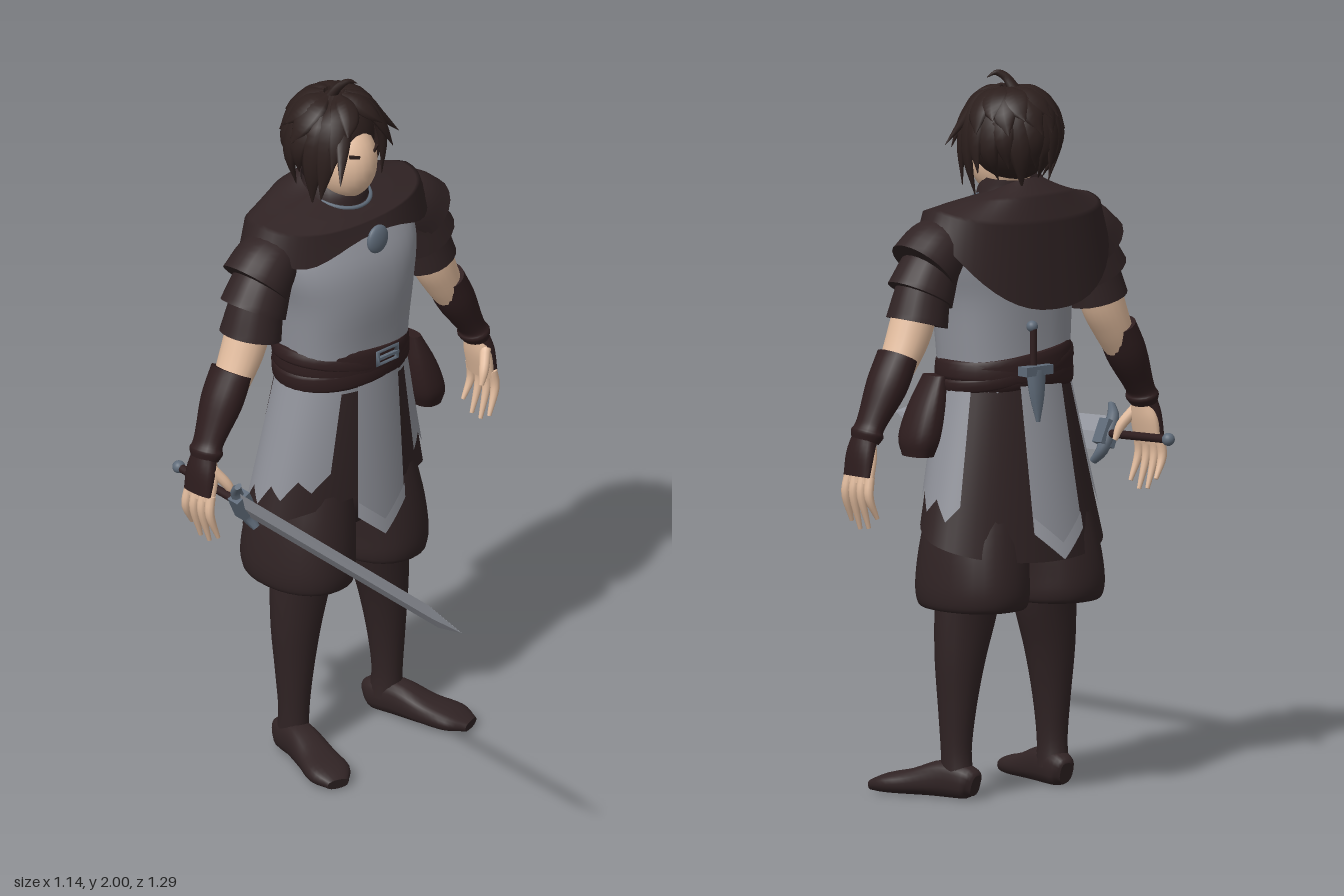
import * as THREE from 'three';
import { ParametricGeometry } from 'three/addons/geometries/ParametricGeometry.js';

const paint = (name, color) => {
  const m = new THREE.MeshStandardMaterial({ color, side: THREE.DoubleSide });
  m.name = name;
  return m;
};
const V = (x, y, z) => new THREE.Vector3(x, y, z);
const X = V(1, 0, 0), Y = V(0, 1, 0), Z = V(0, 0, 1);
const pow = (v, p) => Math.sign(v) * Math.pow(Math.abs(v), 2 / p);

// Smooth skin over rings [x, y, z, a, b]; b lies along ref, a across it.
function loft(rings, { n = 20, steps = 4, ref = Z, square = 2, caps = true, upright = false } = {}) {
  const mid = new THREE.CatmullRomCurve3(rings.map(r => V(r[0], r[1], r[2])), false, 'catmullrom');
  const rad = new THREE.CatmullRomCurve3(rings.map(r => V(r[3], r[4], 0)), false, 'catmullrom');
  const m = (rings.length - 1) * steps, rows = [];
  for (let i = 0; i <= m; i++) {
    const c = mid.getPoint(i / m), r = rad.getPoint(i / m), t = mid.getTangent(i / m);
    if (upright) t.set(0, Math.sign(t.y), 0);
    const b = ref.clone().addScaledVector(t, -ref.dot(t)).normalize();
    const row = { c, a: b.clone().cross(t), b, ra: Math.max(r.x, 0.0005), rb: Math.max(r.y, 0.0005) };
    rows.push(row);
    if (caps && (i === 0 || i === m)) {
      const tip = { ...row, ra: 0, rb: 0 };
      if (i === 0) rows.unshift(tip, row); else rows.push(row, tip);
    }
  }
  const pos = [], idx = [];
  rows.forEach((r, i) => {
    for (let j = 0; j < n; j++) {
      const q = j / n * Math.PI * 2;
      const p = r.c.clone().addScaledVector(r.a, r.ra * pow(Math.cos(q), square))
        .addScaledVector(r.b, r.rb * pow(Math.sin(q), square));
      pos.push(p.x, p.y, p.z);
      if (i === rows.length - 1) continue;
      const k = (j + 1) % n, o = i * n;
      idx.push(o + j, o + k, o + n + k, o + j, o + n + k, o + n + j);
    }
  });
  const g = new THREE.BufferGeometry();
  g.setAttribute('position', new THREE.Float32BufferAttribute(pos, 3));
  g.setIndex(idx);
  g.computeVertexNormals();
  return g;
}

// Open cloth from fn(u, t) -> [x, y, z], with t running downwards.
const cloth = (fn, nu, nv) => new ParametricGeometry((u, v, out) => out.set(...fn(u, 1 - v)), nu, nv);
const mix = THREE.MathUtils.lerp;

export function createModel() {
  const root = new THREE.Group();
  root.name = 'swordsman';
  const dark = paint('dark cloth', 0x302324), hairMat = paint('dark hair', 0x2c1f1d);
  const leather = paint('leather', 0x2e1d1e), grey = paint('grey cloth', 0x8f9199);
  const trim = paint('pale trim', 0x9b9da5), skin = paint('skin', 0xe3bd9f);
  const steel = paint('blade steel', 0x94979f), metal = paint('blue metal', 0x5f6b79);
  const add = (name, geo, mat, parent = root) => {
    const mesh = new THREE.Mesh(geo, mat);
    mesh.name = name;
    parent.add(mesh);
    return mesh;
  };
  const ball = (name, mat, x, y, z, rx, ry, rz, parent) => {
    const b = add(name, new THREE.SphereGeometry(1, 24, 16), mat, parent);
    b.position.set(x, y, z);
    b.scale.set(rx, ry, rz);
    return b;
  };
  const box = (name, mat, x, y, z, w, h, d, parent) => {
    const b = add(name, new THREE.BoxGeometry(w, h, d), mat, parent);
    b.position.set(x, y, z);
    return b;
  };

  // Torso and neck
  add('torso', loft([[0, 1.12, -0.395, 0.19, 0.145], [0, 1.25, -0.39, 0.2, 0.145], [0, 1.38, -0.385, 0.213, 0.15],
    [0, 1.48, -0.392, 0.237, 0.145], [0, 1.56, -0.41, 0.235, 0.125], [0, 1.63, -0.42, 0.17, 0.09]],
    { n: 36, square: 2.4, upright: true }), grey);
  add('neck', loft([[0, 1.58, -0.42, 0.07, 0.065], [0, 1.66, -0.41, 0.062, 0.062], [0, 1.74, -0.4, 0.06, 0.06]], { upright: true }), skin);

  // Mantle: short in front, falling to a rounded point at the back
  const mantleRows = [[0.085, 0.085], [0.19, 0.135], [0.285, 0.16], [0.31, 0.172]];
  add('mantle', cloth((u, t) => {
    const a = u * Math.PI * 2, s = Math.sin(a), c = Math.cos(a);
    const f = Math.max(0, c), b = Math.max(0, -c);
    const hem = 1.585 - 0.225 * b ** 1.4 - 0.05 * (c > 0 ? Math.sin(2 * a) ** 2 : 0);
    const ys = [1.675 + 0.04 * b - 0.02 * f, 1.658 + 0.01 * b - 0.025 * f, 1.638 - 0.04 * b - 0.02 * f, hem];
    const k = Math.min(2, Math.floor(t * 3)), w = t * 3 - k;
    const rx = mix(mantleRows[k][0], mantleRows[k + 1][0], w), rz = mix(mantleRows[k][1], mantleRows[k + 1][1], w);
    return [rx * pow(s, 2.3), mix(ys[k], ys[k + 1], w), -0.425 + rz * pow(c, 2.3) - 0.008 * b * t];
  }, 48, 18), dark);
  add('collar', loft([[0, 1.64, -0.42, 0.1, 0.1], [0, 1.68, -0.42, 0.088, 0.092], [0, 1.71, -0.435, 0.08, 0.08]],
    { upright: true, caps: false }), dark);
  const chain = add('neckChain', new THREE.TorusGeometry(0.082, 0.006, 6, 32), metal);
  chain.position.set(0, 1.665, -0.392);
  chain.rotation.x = Math.PI / 2 + 0.25;
  ball('pendant', metal, 0, 1.565, -0.25, 0.038, 0.042, 0.016);

  // Skirt with torn grey side panels
  const skirt = (a, t, off) => {
    const c = Math.cos(a), hem = c > 0 ? 0.72 + 0.08 * c : 0.72 + 0.06 * c;
    return [(mix(0.193, 0.302, t) + off) * Math.sin(a), mix(1.17, hem, t),
      mix(-0.395, -0.425, t) + (mix(0.148, 0.175, t) + off) * c];
  };
  add('skirt', cloth((u, t) => skirt(u * Math.PI * 2, t, 0), 48, 10), dark);
  for (const s of [1, -1]) {
    add('sidePanel', cloth((u, t) => {
      const tooth = Math.abs((u * 7) % 2 - 1);
      return skirt(s * mix(s > 0 ? 0.6 : 2, s > 0 ? 2 : 0.6, u), t * (0.73 + 0.11 * tooth), 0.006);
    }, 42, 8), grey);
  }

  // Front and back tabards with a pale pointed border
  for (const s of [1, -1]) {
    const z = y => s > 0 ? mix(-0.222, -0.237, (y - 0.67) / 0.49) : mix(-0.637, -0.552, (y - 0.67) / 0.49);
    const strip = (top, off) => cloth((u, t) => {
      const k = (u * 2 - 1) * s, low = 0.67 + 0.075 * Math.abs(k);
      const y = mix(top > 1 ? top : low + top, low, t);
      return [k * mix(0.092, 0.076, (y - 0.67) / 0.49), y, z(y) + s * (off - 0.012 * k * k)];
    }, 12, 8);
    add(s > 0 ? 'frontTabard' : 'backTabard', strip(1.16, 0), grey);
    add('tabardBorder', strip(0.045, 0.004), trim);
  }

  // Belts, buckle and pouch
  for (const [tilt, y, h, r] of [[-0.12, 1.19, 0.045, 0.2], [0.09, 1.17, 0.028, 0.204], [-0.2, 1.185, 0.02, 0.207]]) {
    const belt = add('belt', loft([[0, -h, 0, r, 0.157], [0, -h * 0.6, 0, r + 0.008, 0.163], [0, h * 0.6, 0, r + 0.008, 0.163],
      [0, h, 0, r, 0.157]], { n: 36, steps: 2, upright: true }), leather);
    belt.position.set(0, y, -0.395);
    belt.rotation.z = tilt;
  }
  const buckle = add('buckle', new THREE.TorusGeometry(0.03, 0.007, 4, 4).rotateZ(Math.PI / 4), metal);
  buckle.position.set(0.01, 1.215, -0.222);
  buckle.scale.set(1.7, 0.9, 1);
  box('buckleTongue', metal, 0.01, 1.215, -0.22, 0.08, 0.008, 0.01);
  add('pouch', loft([[0.21, 1.17, -0.34, 0.02, 0.04], [0.232, 1.08, -0.335, 0.045, 0.06], [0.25, 1.0, -0.33, 0.052, 0.066],
    [0.258, 0.95, -0.33, 0.038, 0.05]], { upright: true, square: 2.6 }), leather);

  // Dagger at the back of the belt
  add('daggerGrip', new THREE.CylinderGeometry(0.01, 0.01, 0.11, 10), leather).position.set(0.04, 1.25, -0.555);
  ball('daggerPommel', metal, 0.04, 1.31, -0.55, 0.016, 0.016, 0.016);
  box('daggerGuard', metal, 0.04, 1.19, -0.565, 0.1, 0.026, 0.035);
  add('daggerSheath', loft([[0.04, 1.19, -0.565, 0.034, 0.02], [0.045, 1.12, -0.575, 0.026, 0.014], [0.05, 1.05, -0.585, 0.006, 0.005]],
    { n: 8 }), metal);

  // Pelvis, then mirrored legs and arms
  ball('pelvis', dark, 0, 0.78, -0.41, 0.19, 0.14, 0.14);
  for (const s of [1, -1]) {
    const side = s > 0 ? 'left' : 'right';
    const limb = (name, rings, mat, opt) =>
      add(side + name, loft(rings.map(([x, ...r]) => [s * x, ...r]), opt), mat);
    limb('Breeches', [[0.11, 0.88, -0.41, 0.1, 0.13], [0.13, 0.72, -0.415, 0.125, 0.16], [0.14, 0.61, -0.418, 0.131, 0.173],
      [0.14, 0.55, -0.418, 0.13, 0.17], [0.14, 0.527, -0.415, 0.118, 0.15], [0.15, 0.54, -0.41, 0.09, 0.08]],
      dark, { n: 28, square: 2.2 , upright: true });
    limb('Leg', [[0.14, 0.6, -0.405, 0.1, 0.08], [0.15, 0.5, -0.4, 0.095, 0.073], [0.168, 0.38, -0.398, 0.074, 0.065],
      [0.177, 0.25, -0.396, 0.053, 0.054], [0.18, 0.13, -0.395, 0.041, 0.045], [0.178, 0.05, -0.4, 0.042, 0.05]], dark, { upright: true });
    limb('Foot', [[0.17, 0.038, -0.462, 0.02, 0.03], [0.174, 0.046, -0.435, 0.04, 0.046], [0.19, 0.051, -0.36, 0.046, 0.051],
      [0.215, 0.036, -0.27, 0.056, 0.036], [0.24, 0.027, -0.195, 0.062, 0.027], [0.256, 0.017, -0.145, 0.032, 0.015]],
      dark, { ref: Y, square: 2.5 });

    // Layered shoulder plates and sleeve
    limb('UpperShoulder', [[0.21, 1.585, -0.41, 0.05, 0.07], [0.265, 1.54, -0.41, 0.087, 0.09], [0.318, 1.485, -0.408, 0.1, 0.098]], dark);
    limb('MiddleShoulder', [[0.255, 1.53, -0.408, 0.07, 0.075], [0.295, 1.47, -0.407, 0.085, 0.085], [0.326, 1.41, -0.406, 0.097, 0.093]], dark);
    limb('Sleeve', [[0.295, 1.48, -0.405, 0.07, 0.07], [0.32, 1.4, -0.405, 0.08, 0.078], [0.337, 1.335, -0.405, 0.088, 0.086]], dark);
    limb('UpperArm', [[0.325, 1.42, -0.405, 0.06, 0.06], [0.36, 1.32, -0.404, 0.061, 0.062], [0.395, 1.25, -0.404, 0.053, 0.058],
      [0.43, 1.19, -0.403, 0.045, 0.05]], skin);
    limb('Bracer', [[0.41, 1.25, -0.405, 0.05, 0.064], [0.45, 1.17, -0.404, 0.053, 0.063], [0.494, 1.09, -0.4, 0.039, 0.049],
      [0.51, 1.06, -0.398, 0.035, 0.047], [0.516, 1.045, -0.397, 0.041, 0.052], [0.523, 1.025, -0.396, 0.033, 0.044]], leather);

    // Hand: dark glove back, bare palm and fingers
    limb('Glove', [[0.522, 1.04, -0.396, 0.03, 0.04], [0.54, 0.99, -0.394, 0.025, 0.05], [0.553, 0.93, -0.394, 0.015, 0.05]], leather);
    limb('Palm', [[0.518, 1.03, -0.395, 0.022, 0.034], [0.528, 0.98, -0.393, 0.024, 0.05], [0.54, 0.91, -0.393, 0.017, 0.05]], skin);
    for (let i = 0; i < 4; i++) {
      const z = -0.352 - i * 0.028, tip = [0.8, 0.78, 0.785, 0.815][i];
      limb('Finger', [[0.543, 0.93, z, 0.014, 0.014], [0.55, 0.875, z - 0.003 * i + 0.004, 0.013, 0.013],
        [0.523, tip, z - 0.006 * i + 0.009, 0.006, 0.006]], skin, { n: 10 });
    }
    limb('Thumb', [[0.525, 1.0, -0.36, 0.016, 0.016], [0.495, 0.955, -0.335, 0.014, 0.014], [0.478, 0.915, -0.328, 0.007, 0.007]], skin, { n: 10 });
  }

  // Head, eyes and brows
  ball('face', skin, 0, 1.77, -0.385, 0.085, 0.118, 0.105);
  ball('scalp', hairMat, 0, 1.825, -0.428, 0.12, 0.128, 0.115);
  for (const s of [1, -1]) {
    box('eye', hairMat, s * 0.04, 1.812, -0.299, 0.03, 0.008, 0.008).rotation.set(0, s * 0.45, s * 0.15);
  }

  // Hair locks sweep from the crown: [azimuth, end elevation, tip radius]
  const centre = V(0, 1.825, -0.42);
  const onHead = (az, el, r) => V(r * Math.sin(az) * Math.cos(el), r * 1.08 * Math.sin(el), r * Math.cos(az) * Math.cos(el)).add(centre);
  const lock = (az, end, tip, w = 0.036) => {
    const rings = [0, 0.35, 0.7, 1].map((t, i) => {
      const p = onHead(az + 0.2 * t * t * Math.sign(az), mix(1.35, end, t), [0.12, 0.127, 0.136, tip][i]);
      return [p.x, p.y, p.z, [0.012, w, w * 0.85, 0.001][i], [0.01, 0.016, 0.013, 0.001][i]];
    });
    const ref = onHead(az, mix(1.35, end, 0.5), 1).sub(centre).normalize();
    add('hairLock', loft(rings, { n: 8, ref }), hairMat);
  };
  for (let i = 0; i < 11; i++) {
    const az = 1.5 + i * 0.328;
    lock(az > Math.PI ? az - Math.PI * 2 : az, -0.55 - 0.3 * (i % 2), i % 3 ? 0.14 : 0.165);
    lock(az > Math.PI ? az - Math.PI * 2 : az, 0.1 + 0.25 * (i % 2), 0.15, 0.042);
  }
  for (const s of [1, -1]) {
    lock(s * 0.62, -0.2, 0.165, 0.03);
    lock(s * 0.85, -0.75, 0.185, 0.034);
    lock(s * 1.15, -0.95, 0.19, 0.036);
    lock(s * 0.3, 0.35, 0.15, 0.034);
  }
  lock(-0.5, -0.2, 0.225, 0.026);
  lock(0.95, -0.1, 0.19, 0.03);
  add('topLock', loft([[-0.02, 1.94, -0.42, 0.02, 0.015], [-0.005, 1.978, -0.4, 0.014, 0.01], [0.02, 1.994, -0.385, 0.008, 0.006],
    [0.045, 1.982, -0.375, 0.001, 0.001]], { n: 8 }), hairMat);

  // Sword held in the right hand, built along +z from the pommel
  const sword = new THREE.Group();
  sword.name = 'sword';
  sword.position.set(-0.49, 0.938, -0.53);
  sword.lookAt(-0.561, 0.876, 0.643);
  sword.rotateZ(0.45);
  const blade = loft([[0, 0, 0.26, 0.009, 0.05], [0, 0, 1.06, 0.008, 0.047], [0, 0, 1.178, 0.0005, 0.0005]], { n: 4, steps: 1, ref: Y }).toNonIndexed();
  blade.computeVertexNormals();
  add('blade', blade, steel, sword);
  ball('pommel', metal, 0, 0, 0, 0.018, 0.018, 0.018, sword);
  add('grip', new THREE.CylinderGeometry(0.012, 0.012, 0.25, 12).rotateX(Math.PI / 2), leather, sword).position.z = 0.135;
  box('guardBlock', metal, 0, 0, 0.265, 0.05, 0.07, 0.04, sword);
  for (const s of [1, -1]) {
    add('guardArm', loft([[0, 0, 0.26, 0.02, 0.022], [0, s * 0.05, 0.262, 0.018, 0.016], [0, s * 0.085, 0.285, 0.012, 0.008]],
      { n: 8, ref: Z }), metal, sword);
  }
  root.add(sword);
  return root;
}
